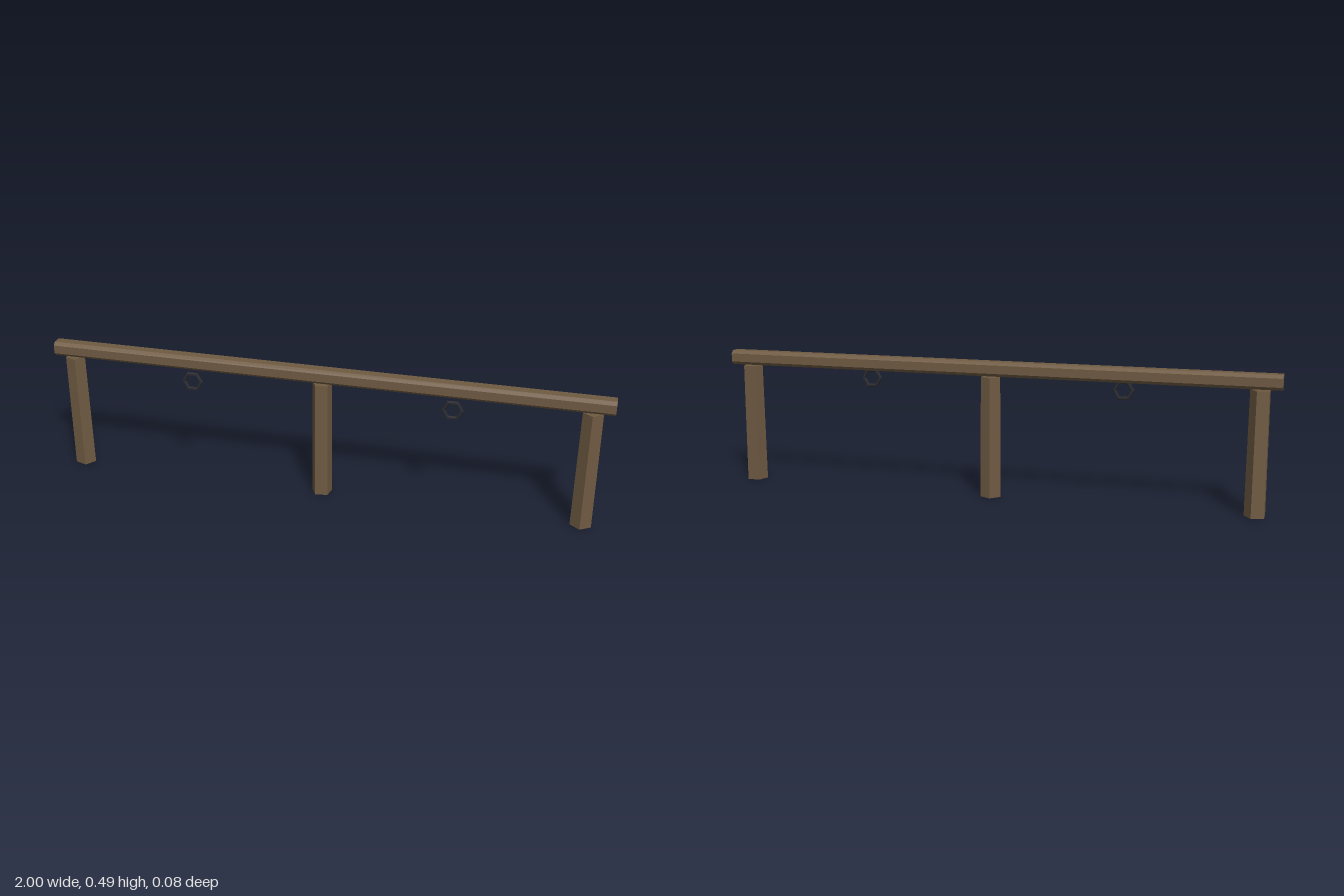
import * as THREE from 'three';

export function createModel() {
  const group = new THREE.Group();
  const wood = new THREE.MeshStandardMaterial({ color: 0x6f5a42, flatShading: true });
  wood.name = 'brownWood';
  const iron = new THREE.MeshStandardMaterial({ color: 0x2b2b30, flatShading: true });
  iron.name = 'darkIron';

  const add = (name, geometry, material, x, y, z) => {
    const mesh = new THREE.Mesh(geometry, material);
    mesh.name = name;
    mesh.position.set(x, y, z);
    group.add(mesh);
    return mesh;
  };

  // Top rail: eight-sided beam running along x
  const w = 0.0275, h = 0.026, c = 0.011;
  const section = new THREE.Shape([
    [w, -h + c], [w, h - c], [w - c, h], [-w + c, h],
    [-w, h - c], [-w, -h + c], [-w + c, -h], [w - c, -h],
  ].map(([x, y]) => new THREE.Vector2(x, y)));
  const railGeometry = new THREE.ExtrudeGeometry(section, { depth: 2, bevelEnabled: false });
  railGeometry.translate(0, 0, -1).rotateY(Math.PI / 2);
  add('rail', railGeometry, wood, 0, 0.463, -0.002);

  // Five-sided tapered posts, each turned differently
  const postGeometry = new THREE.CylinderGeometry(0.036, 0.0385, 0.434, 5);
  for (const [name, x, turn] of [['rightPost', -0.93, 17], ['middlePost', 0, 45], ['leftPost', 0.928, -2]]) {
    add(name, postGeometry, wood, x, 0.217, -0.002).rotation.y = THREE.MathUtils.degToRad(turn);
  }

  // Hexagonal tie rings at the front, below the rail
  const ringGeometry = new THREE.TorusGeometry(0.032, 0.007, 6, 6);
  for (const [name, x] of [['rightRing', -0.465], ['leftRing', 0.465]]) {
    add(name, ringGeometry, iron, x, 0.402, 0.0355);
  }
  return group;
}
